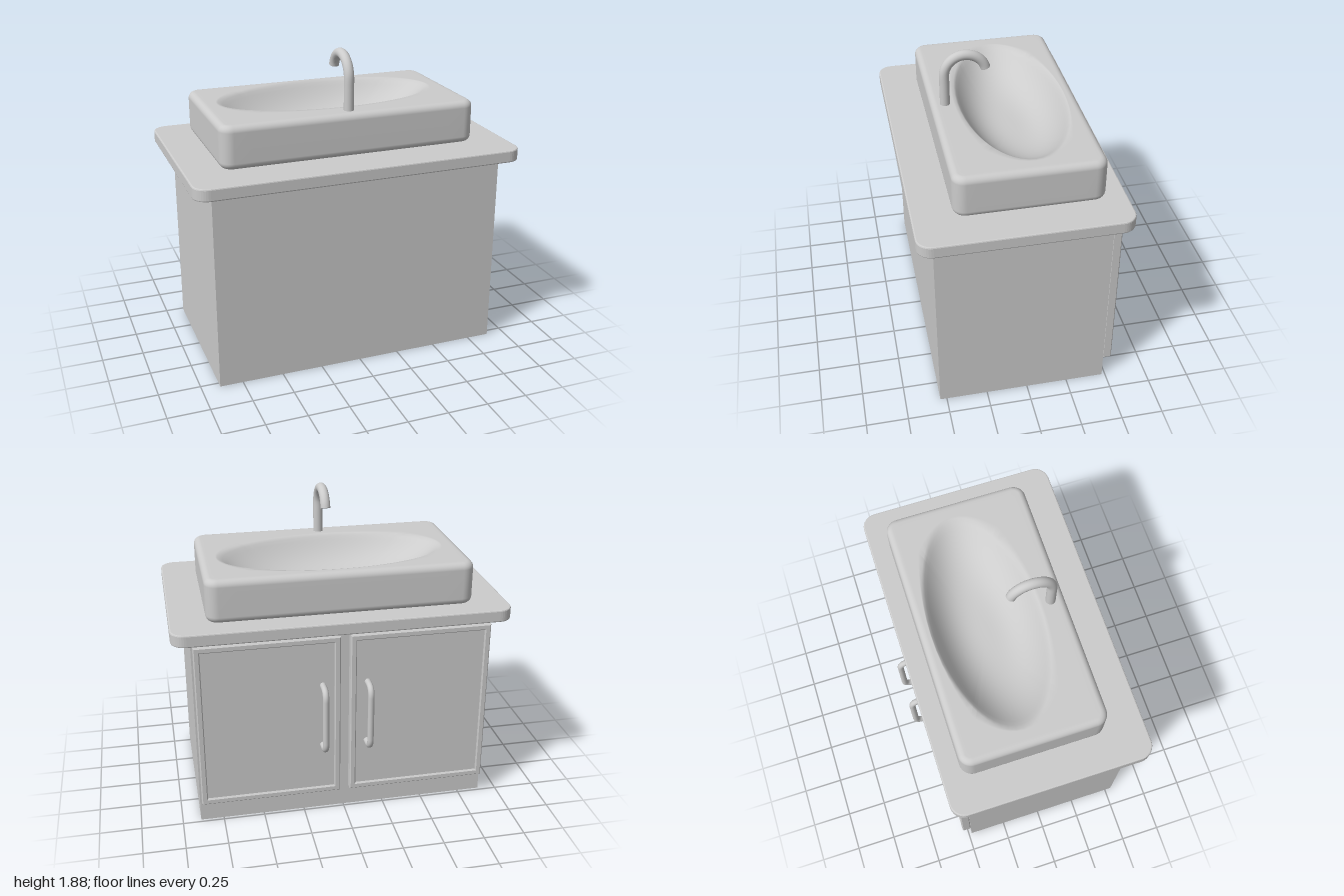
import * as THREE from 'three';

const mat = new THREE.MeshStandardMaterial({ color: 0xcccccc, side: THREE.DoubleSide });

function add(parent, name, geo, x = 0, y = 0, z = 0) {
  const m = new THREE.Mesh(geo, mat);
  m.name = name;
  m.position.set(x, y, z);
  parent.add(m);
  return m;
}

// Closed rounded-rectangle outline as [x, z] points; same count for every size
function roundedRect(hx, hz, r, cornerSegs = 8, sideSegs = 14) {
  const corners = [];
  [[1, 1], [-1, 1], [-1, -1], [1, -1]].forEach(([sx, sz], k) => {
    const arc = [];
    for (let i = 0; i <= cornerSegs; i++) {
      const a = (k + i / cornerSegs) * Math.PI / 2;
      arc.push([sx * (hx - r) + r * Math.cos(a), sz * (hz - r) + r * Math.sin(a)]);
    }
    corners.push(arc);
  });
  const pts = [];
  corners.forEach((arc, k) => {
    pts.push(...arc);
    const a = arc[cornerSegs], b = corners[(k + 1) % 4][0];
    for (let i = 1; i < sideSegs; i++) {
      const t = i / sideSegs;
      pts.push([a[0] + (b[0] - a[0]) * t, a[1] + (b[1] - a[1]) * t]);
    }
  });
  return pts;
}

// Basin skin: rounded block whose top flows into an elliptical bowl
function basinGeometry() {
  const hx = 0.79, hz = 0.435, h = 0.26, f = 0.04, r = 0.075;
  const bowlX = 0.68, bowlZ = 0.325, bowlOffset = -0.045, depth = 0.19;
  const rings = [];
  const outline = (inset, y) =>
    rings.push(roundedRect(hx - inset, hz - inset, r - inset).map(([x, z]) => [x, y, z]));
  rings.push(roundedRect(hx, hz, r).map(() => [0, 0, 0]));
  for (let i = 0; i <= 6; i++) { // bottom fillet
    const a = i / 6 * Math.PI / 2;
    outline(f * (1 - Math.sin(a)), f * (1 - Math.cos(a)));
  }
  for (let i = 0; i <= 6; i++) { // top fillet
    const a = i / 6 * Math.PI / 2;
    outline(f * (1 - Math.cos(a)), h - f + f * Math.sin(a));
  }
  const edge = rings[rings.length - 1];
  const ellipse = (s, y) => edge.map(([x, , z]) => {
    const a = Math.atan2(z / hz, x / hx);
    return [s * bowlX * Math.cos(a), y, bowlOffset + s * bowlZ * Math.sin(a)];
  });
  const lip = ellipse(1, h);
  for (let i = 1; i <= 6; i++) { // flat rim
    const t = i / 6;
    rings.push(edge.map((p, k) => p.map((v, c) => v + (lip[k][c] - v) * t)));
  }
  for (let i = 1; i <= 24; i++) { // bowl with a softened lip
    const s = 1 - i / 24;
    const d = 1 - s ** 3;
    rings.push(ellipse(s, h - depth * d * d / (d + 0.08) * 1.08));
  }
  const n = edge.length, index = [];
  for (let j = 0; j < rings.length - 1; j++) {
    for (let i = 0; i < n; i++) {
      const a = j * n + i, b = j * n + (i + 1) % n;
      if (j < rings.length - 2) index.push(a, a + n, b, b, a + n, b + n);
      else index.push(a, a + n, b);
    }
  }
  const g = new THREE.BufferGeometry();
  g.setAttribute('position', new THREE.Float32BufferAttribute(rings.flat(2), 3));
  g.setIndex(index);
  g.computeVertexNormals();
  return g;
}

function counterGeometry() {
  const bevel = 0.008;
  const shape = new THREE.Shape(
    roundedRect(1 - bevel, 0.61 - bevel, 0.08, 10, 1).map(([x, z]) => new THREE.Vector2(x, z)));
  return new THREE.ExtrudeGeometry(shape, {
    depth: 0.075 - 2 * bevel, bevelThickness: bevel, bevelSize: bevel, bevelSegments: 2,
  }).translate(0, 0, bevel).rotateX(-Math.PI / 2);
}

// Door frame lying in XY, with an opening for the recessed panel
function doorFrameGeometry(w, h, border, depth) {
  const rect = (S, a, b) => new S([[-a, -b], [a, -b], [a, b], [-a, b]].map(p => new THREE.Vector2(...p)));
  const bevel = 0.006;
  const shape = rect(THREE.Shape, w / 2 - bevel, h / 2 - bevel);
  shape.holes.push(rect(THREE.Path, w / 2 - border, h / 2 - border));
  return new THREE.ExtrudeGeometry(shape, {
    depth: depth - 2 * bevel, bevelThickness: bevel, bevelSize: bevel, bevelSegments: 1,
  }).translate(0, 0, bevel);
}

// D-shaped pull handle
function handleGeometry() {
  const v = (y, z) => new THREE.Vector3(0, y, z);
  const z0 = -0.51, z1 = -0.617, top = 0.2, r = 0.06;
  const path = new THREE.CurvePath();
  path.add(new THREE.LineCurve3(v(-top, z0), v(-top, z1 + r)));
  path.add(new THREE.QuadraticBezierCurve3(v(-top, z1 + r), v(-top, z1), v(-top + r, z1)));
  path.add(new THREE.LineCurve3(v(-top + r, z1), v(top - r, z1)));
  path.add(new THREE.QuadraticBezierCurve3(v(top - r, z1), v(top, z1), v(top, z1 + r)));
  path.add(new THREE.LineCurve3(v(top, z1 + r), v(top, z0)));
  return new THREE.TubeGeometry(path, 80, 0.019, 14);
}

export function createModel() {
  const model = new THREE.Group();
  model.name = 'washbasinCabinet';

  add(model, 'cabinet', new THREE.BoxGeometry(1.78, 1.21, 1.02), 0, 0.605, 0.03);
  add(model, 'countertop', counterGeometry(), 0, 1.21, 0.025);
  add(model, 'basin', basinGeometry(), 0, 1.285, -0.03);

  // Pair of doors
  const w = 0.85, h = 1.04, y = 0.66;
  for (const side of [-1, 1]) {
    const door = new THREE.Group();
    door.name = side > 0 ? 'leftDoor' : 'rightDoor';
    const x = side * (0.03 + w / 2);
    add(door, 'doorFrame', doorFrameGeometry(w, h, 0.03, 0.055), x, y, -0.535);
    add(door, 'doorPanel', new THREE.BoxGeometry(w - 0.04, h - 0.04, 0.042), x, y, -0.5);
    add(door, 'doorHandle', handleGeometry(), side * 0.135, 0.67, 0);
    model.add(door);
  }

  // Gooseneck tap
  const tap = new THREE.Group();
  tap.name = 'tap';
  const bend = 0.125, cy = 1.73, cz = 0.195;
  const pts = [1.5, 1.56, 1.62, 1.68].map(py => new THREE.Vector3(0, py, cz + bend));
  for (let i = 0; i <= 16; i++) {
    const a = i / 16 * Math.PI * 0.915;
    pts.push(new THREE.Vector3(0, cy + bend * Math.sin(a), cz + bend * Math.cos(a)));
  }
  const curve = new THREE.CatmullRomCurve3(pts);
  add(tap, 'tapPipe', new THREE.TubeGeometry(curve, 60, 0.03, 20));
  const end = pts[pts.length - 1];
  const cap = add(tap, 'tapOutlet', new THREE.CircleGeometry(0.03, 20), end.x, end.y, end.z);
  cap.lookAt(end.clone().add(curve.getTangent(1)));
  model.add(tap);

  return model;
}
